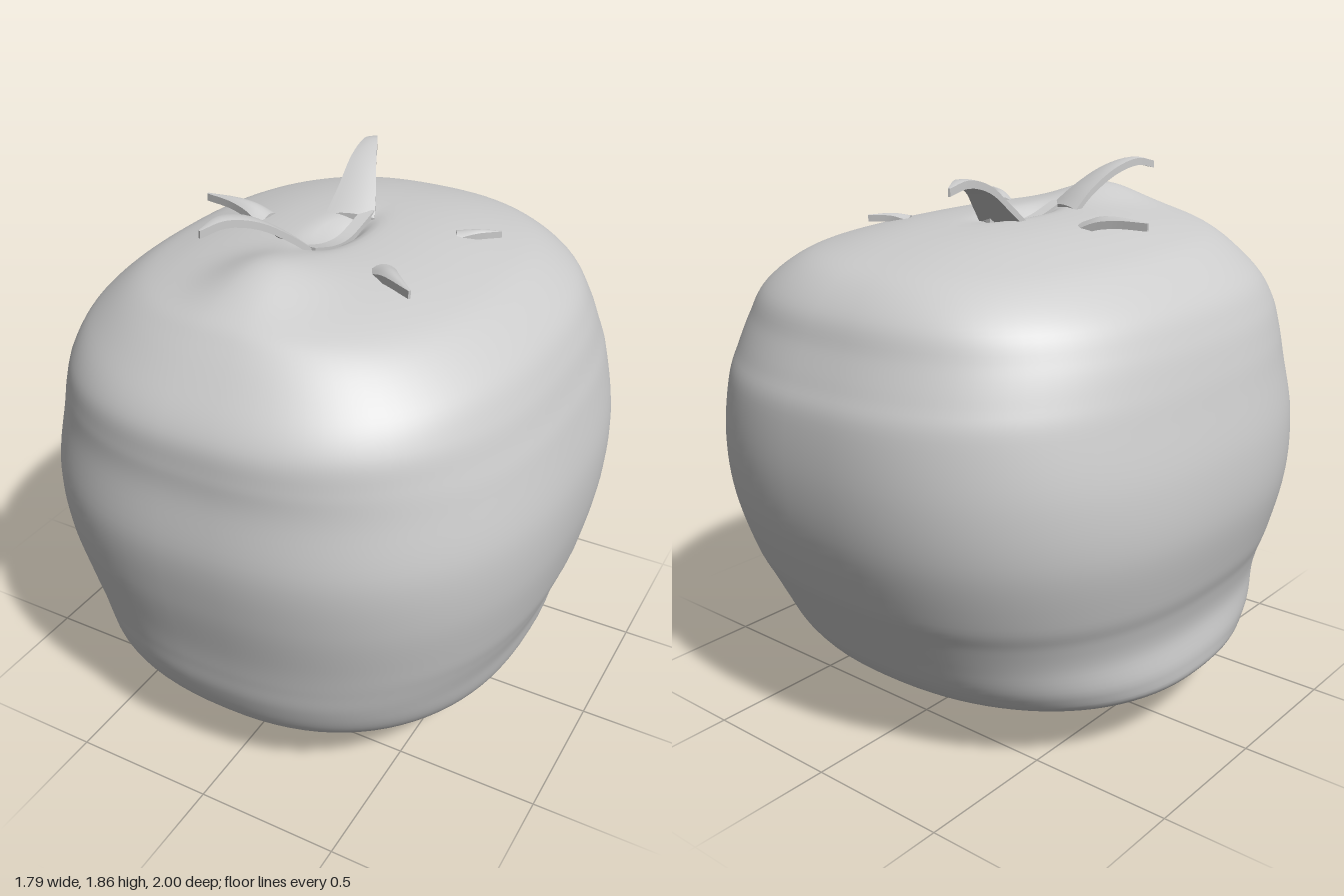
import * as THREE from 'three';

// Body rings: height, left (-x), right (+x), front (+z), back (-z) reach
const rings = [
  [0, 0.24, 0.24, 0.33, 0.19],
  [0.05, 0.40, 0.37, 0.46, 0.32],
  [0.1, 0.55, 0.51, 0.59, 0.45],
  [0.2, 0.77, 0.70, 0.77, 0.66],
  [0.28, 0.805, 0.76, 0.85, 0.745],
  [0.4, 0.795, 0.79, 0.90, 0.81],
  [0.5, 0.815, 0.825, 0.92, 0.86],
  [0.6, 0.85, 0.855, 0.938, 0.91],
  [0.8, 0.893, 0.89, 0.98, 0.975],
  [1.0, 0.89, 0.893, 1.0, 0.998],
  [1.2, 0.85, 0.855, 0.975, 0.985],
  [1.3, 0.825, 0.825, 0.97, 0.95],
  [1.4, 0.79, 0.79, 0.955, 0.905],
  [1.5, 0.73, 0.73, 0.89, 0.86],
  [1.6, 0.60, 0.60, 0.79, 0.76],
  [1.65, 0.46, 0.46, 0.70, 0.63],
  [1.685, 0.30, 0.30, 0.50, 0.44],
  [1.70, 0.15, 0.15, 0.27, 0.22],
  [1.70, 0.001, 0.001, 0.001, 0.001],
];

// Closed smooth body; the crown gets a front ridge and a narrow central hollow
function bodyGeometry(cols = 96, rows = 108) {
  const curveX = new THREE.CatmullRomCurve3(rings.map(r => new THREE.Vector3(r[0], r[1], r[2])), false, 'catmullrom');
  const curveZ = new THREE.CatmullRomCurve3(rings.map(r => new THREE.Vector3(r[0], r[3], r[4])), false, 'catmullrom');
  const pos = [], index = [];
  for (let i = 0; i <= rows; i++) {
    const a = curveX.getPoint(i / rows), b = curveZ.getPoint(i / rows);
    const power = 2 / (2 + 0.45 * THREE.MathUtils.smoothstep(a.x, 0, 0.4));
    for (let j = 0; j < cols; j++) {
      const t = j / cols * Math.PI * 2, c = Math.cos(t), s = Math.sin(t);
      const x = Math.sign(c) * Math.abs(c) ** power * (c < 0 ? a.y : a.z);
      const z = Math.sign(s) * Math.abs(s) ** power * (s > 0 ? b.y : b.z);
      let y = Math.max(0, a.x);
      const crown = THREE.MathUtils.smoothstep(y, 1.5, 1.68);
      y += crown * (0.02 * z + 0.065 * Math.exp(-((x / 0.16) ** 2) - ((z - 0.5) / 0.2) ** 2));
      y -= crown * 0.07 * Math.exp(-((x / 0.05) ** 2) - ((z - 0.03) / 0.14) ** 2);
      pos.push(x, y, z);
      if (i < rows) {
        const k = (j + 1) % cols, p = i * cols + j, q = i * cols + k;
        index.push(p, p + cols, q, q, p + cols, q + cols);
      }
    }
  }
  const g = new THREE.BufferGeometry();
  g.setAttribute('position', new THREE.Float32BufferAttribute(pos, 3));
  g.setIndex(index);
  g.computeVertexNormals();
  return g;
}

// Tapered blade: a box bent along a curve, pointed at its far end
function bladeGeometry(points, halfWidth, thickness, tip, arch) {
  const g = new THREE.BoxGeometry(1, 1, 1, 6, 1, 16);
  const curve = new THREE.CatmullRomCurve3(points.map(p => new THREE.Vector3(...p)));
  const dir = curve.getPoint(1).sub(curve.getPoint(0)).setY(0).normalize();
  const side = new THREE.Vector3(0, 1, 0).cross(dir);
  const p = g.attributes.position;
  for (let i = 0; i < p.count; i++) {
    const s = p.getZ(i) + 0.5, u = p.getX(i) * 2;
    const v = curve.getPoint(s).addScaledVector(side, u * THREE.MathUtils.lerp(halfWidth, tip, s));
    v.y += p.getY(i) * thickness - arch * u * u * (1 - s);
    p.setXYZ(i, v.x, v.y, v.z);
  }
  g.computeVertexNormals();
  return g;
}

export function createModel() {
  const grey = new THREE.MeshStandardMaterial({ color: 0xcccccc });
  grey.name = 'plainGrey';
  const model = new THREE.Group();
  model.name = 'tomato';
  const add = (name, geometry) => {
    const mesh = new THREE.Mesh(geometry, grey);
    mesh.name = name;
    model.add(mesh);
    return mesh;
  };

  add('fruitBody', bodyGeometry());

  // Flat base with the outline of the lowest ring
  const outline = [];
  for (let j = 0; j < 48; j++) {
    const t = j / 48 * Math.PI * 2, s = Math.sin(t);
    outline.push(new THREE.Vector2(0.24 * Math.cos(t), s * (s > 0 ? 0.33 : 0.19)));
  }
  const base = add('fruitBase', new THREE.ShapeGeometry(new THREE.Shape(outline)));
  base.rotation.x = Math.PI / 2;

  // Sepals: centre line, root half width, thickness, tip half width, arch
  const sepals = {
    backSepal: [[[-0.04, 1.69, -0.11], [-0.06, 1.76, -0.2], [-0.09, 1.825, -0.3], [-0.12, 1.85, -0.41], [-0.14, 1.832, -0.49]], 0.085, 0.025, 0.004, 0.01],
    frontSepal: [[[-0.06, 1.70, 0.19], [-0.085, 1.76, 0.26], [-0.13, 1.825, 0.36], [-0.17, 1.85, 0.46], [-0.198, 1.832, 0.54]], 0.08, 0.025, 0.004, 0.01],
    rightSepal: [[[-0.28, 1.685, 0.015], [-0.35, 1.708, 0.01], [-0.43, 1.713, 0.005], [-0.54, 1.706, 0]], 0.055, 0.026, 0.004, 0.025],
    leftFrontSepal: [[[0.25, 1.695, 0.22], [0.31, 1.71, 0.28], [0.42, 1.705, 0.37]], 0.05, 0.026, 0.004, 0.025],
    leftBackSepal: [[[0.32, 1.672, -0.185], [0.38, 1.678, -0.215], [0.45, 1.67, -0.262]], 0.03, 0.022, 0.004, 0.015],
    stemStrip: [[[0, 1.705, 0.23], [0, 1.665, 0.1], [0, 1.655, 0], [0.01, 1.7, -0.15]], 0.022, 0.025, 0.022, 0],
  };
  for (const [name, args] of Object.entries(sepals)) add(name, bladeGeometry(...args));

  return model;
}
